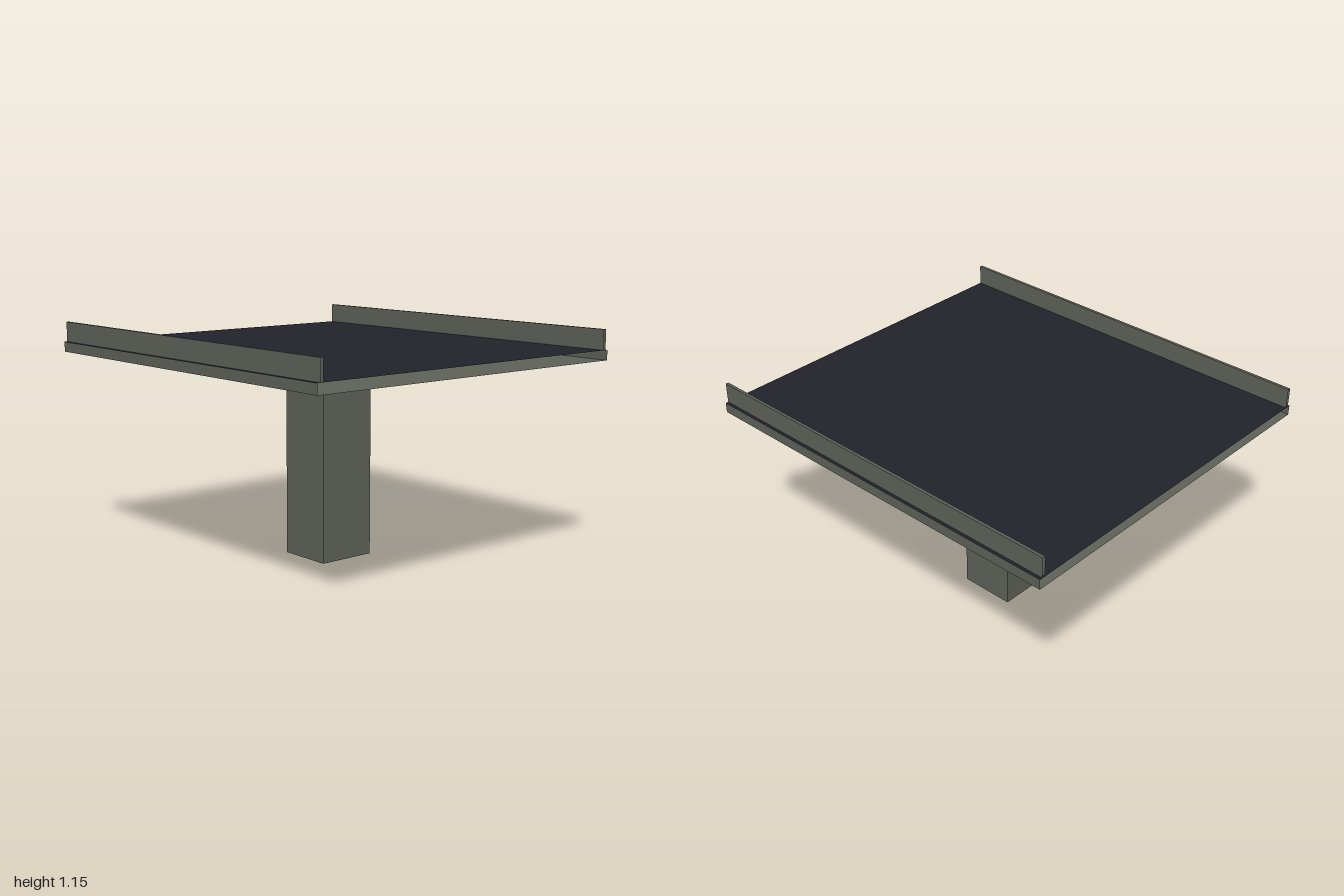
import * as THREE from 'three';

export function createModel() {
  const model = new THREE.Group();
  model.name = 'bridgeSection';

  const concrete = new THREE.MeshStandardMaterial({ color: 0x5d6258, side: THREE.DoubleSide });
  concrete.name = 'concrete';
  const asphalt = new THREE.MeshStandardMaterial({ color: 0x22222c, side: THREE.DoubleSide });
  asphalt.name = 'asphalt';

  const box = (name, w, h, d, y) => {
    const mesh = new THREE.Mesh(new THREE.BoxGeometry(w, h, d), concrete);
    mesh.position.y = y + h / 2;
    mesh.name = name;
    model.add(mesh);
  };

  // Flat sheet running the full length in x between two (z, y) profile points
  const sheet = (name, material, [z0, y0], [z1, y1], parent = model) => {
    const geometry = new THREE.PlaneGeometry(2, Math.hypot(z1 - z0, y1 - y0));
    geometry.rotateX(Math.atan2(z1 - z0, y1 - y0));
    geometry.translate(0, (y0 + y1) / 2, (z0 + z1) / 2);
    const mesh = new THREE.Mesh(geometry, material);
    mesh.name = name;
    parent.add(mesh);
  };

  // Pier and crosshead
  box('pier', 0.285, 1.0, 0.305, 0);
  box('crosshead', 0.325, 0.085, 1.02, 0.912);

  // Hollow deck, open at both ends so sections can be joined
  sheet('deckUnderside', concrete, [0.9, 1.0], [-0.9, 1.0]);
  sheet('roadSurface', asphalt, [-0.9, 1.05], [0.9, 1.05]);

  // Deck edges and open-ended parapets
  for (const s of [1, -1]) {
    sheet('deckEdge', concrete, [s * 0.9, 1.0], [s * 0.9, 1.05]);
    const parapet = new THREE.Group();
    parapet.name = s > 0 ? 'frontParapet' : 'backParapet';
    sheet('outerFace', concrete, [s * 0.885, 1.05], [s * 0.885, 1.15], parapet);
    sheet('innerFace', concrete, [s * 0.87, 1.05], [s * 0.87, 1.15], parapet);
    sheet('parapetTop', concrete, [s * 0.87, 1.15], [s * 0.885, 1.15], parapet);
    model.add(parapet);
  }

  return model;
}
